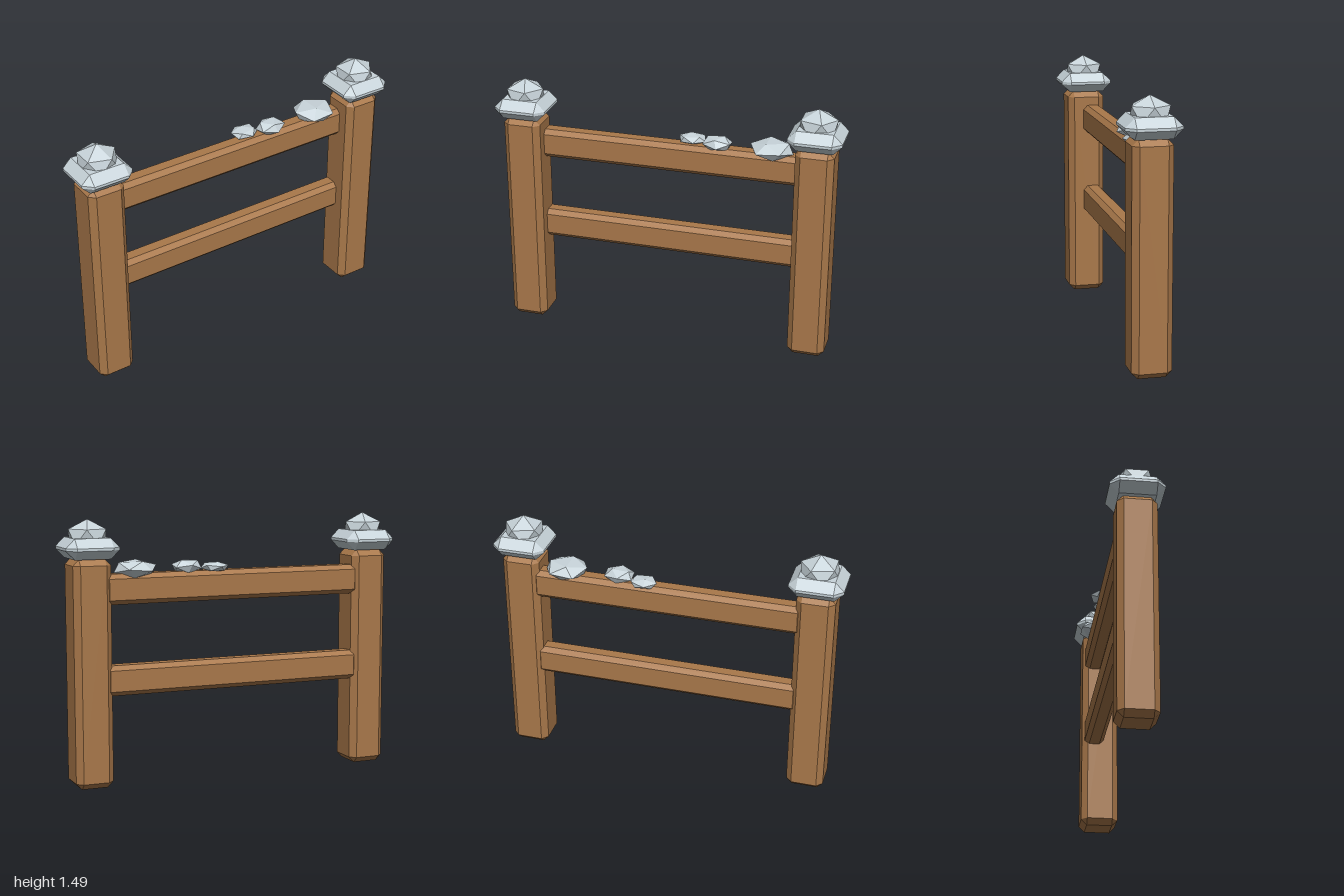
import * as THREE from 'three';
import { ConvexGeometry } from 'three/addons/geometries/ConvexGeometry.js';

const wood = new THREE.MeshStandardMaterial({ color: 0xa9784a, flatShading: true });
const stone = new THREE.MeshStandardMaterial({ color: 0xc8d4da, flatShading: true });

// Box between two corners with every edge cut at 45 degrees by c
function chamferBox(min, max, c) {
  const points = [];
  for (let i = 0; i < 8; i++) {
    const high = [i & 1, i & 2, i & 4];
    // three points per corner, each lying on one of the meeting faces
    for (let face = 0; face < 3; face++) {
      const p = high.map((h, a) => {
        const inset = a === face ? 0 : c;
        return h ? max[a] - inset : min[a] + inset;
      });
      points.push(new THREE.Vector3(...p));
    }
  }
  return new ConvexGeometry(points);
}

// Twenty-sided stone with a vertex on top and a pentagon corner towards +x
function capStone(radius, height) {
  const points = [new THREE.Vector3(0, height, 0), new THREE.Vector3(0, -height, 0)];
  for (let i = 0; i < 10; i++) {
    const a = (i * Math.PI) / 5;
    const y = (i % 2 ? -1 : 1) * height * 0.447;
    points.push(new THREE.Vector3(Math.cos(a) * radius, y, Math.sin(a) * radius));
  }
  return new ConvexGeometry(points);
}

// Tilted twenty-sided rock squashed to fill a box
function rock(min, max, rx, ry, rz) {
  const g = new THREE.IcosahedronGeometry(1, 0);
  g.rotateX(rx).rotateY(ry).rotateZ(rz);
  g.computeBoundingBox();
  const size = g.boundingBox.getSize(new THREE.Vector3());
  const mid = g.boundingBox.getCenter(new THREE.Vector3());
  g.translate(-mid.x, -mid.y, -mid.z);
  g.scale(...max.map((m, a) => (m - min[a]) / size.getComponent(a)));
  g.translate(...max.map((m, a) => (m + min[a]) / 2));
  g.computeVertexNormals();
  return g;
}

export function createModel() {
  const model = new THREE.Group();
  model.name = 'fence';
  const add = (name, geometry, material, x = 0, y = 0) => {
    const mesh = new THREE.Mesh(geometry, material);
    mesh.name = name;
    mesh.position.set(x, y, 0);
    model.add(mesh);
  };

  // Posts, each with a stone cap
  for (const [side, x] of [['left', 0.848], ['right', -0.848]]) {
    add(side + 'Post', chamferBox([-0.108, 0, -0.11], [0.108, 1.275, 0.11], 0.034), wood, x);
    add(side + 'CapSlab', chamferBox([-0.152, 1.275, -0.152], [0.152, 1.39, 0.152], 0.05), stone, x);
    add(side + 'CapStone', capStone(0.108, 0.095), stone, x, 1.395);
  }

  // Rails, set back from the middle of the posts
  for (const [name, y] of [['upperRail', 1.02], ['lowerRail', 0.512]]) {
    add(name, chamferBox([-0.78, y, -0.095], [0.78, y + 0.17, 0.02], 0.026), wood);
  }

  // Loose rocks on the upper rail
  add('largeRock', rock([0.465, 1.165, -0.14], [0.71, 1.26, 0.068], 0.3, 0.5, -0.2), stone);
  add('smallRock', rock([0.045, 1.18, -0.135], [0.205, 1.238, 0.002], 0.7, 0.2, 0.1), stone);
  add('mediumRock', rock([0.2, 1.175, -0.1], [0.357, 1.252, 0.045], 0.5, 1.1, 0.25), stone);

  return model;
}
